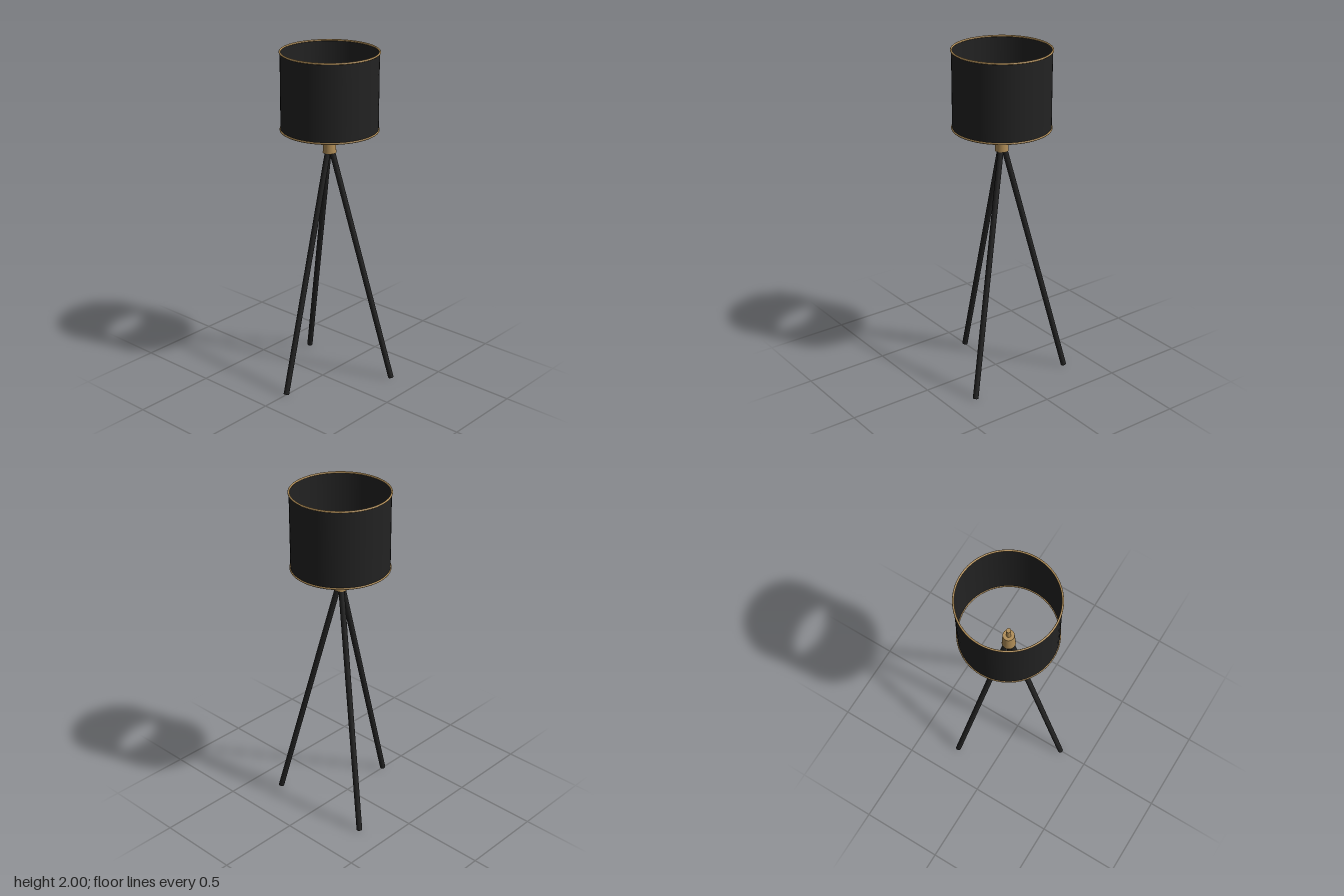
import * as THREE from 'three';

export function createModel() {
  const black = new THREE.MeshStandardMaterial({ color: 0x222222 });
  black.name = 'matte black';
  const shadeBlack = new THREE.MeshStandardMaterial({ color: 0x222222, side: THREE.DoubleSide });
  shadeBlack.name = 'shade black';
  const brass = new THREE.MeshStandardMaterial({ color: 0xb08d57 });
  brass.name = 'brass';

  const lamp = new THREE.Group();
  lamp.name = 'tripodFloorLamp';
  lamp.position.z = -0.058; // lamp axis sits behind the centre of the footprint

  const add = (name, geometry, material, y = 0) => {
    const mesh = new THREE.Mesh(geometry, material);
    mesh.name = name;
    mesh.position.y = y;
    lamp.add(mesh);
    return mesh;
  };

  // Three splayed legs, one pointing forwards
  const legRadius = 0.0165;
  const up = new THREE.Vector3(0, 1, 0);
  ['frontLeg', 'backLeftLeg', 'backRightLeg'].forEach((name, i) => {
    const a = (i * Math.PI * 2) / 3;
    const at = (r, y) => new THREE.Vector3(Math.sin(a) * r, y, Math.cos(a) * r);
    const foot = at(0.381, 0.0042);
    const top = at(0.0115, 1.43);
    const axis = top.clone().sub(foot);
    const leg = add(name, new THREE.CylinderGeometry(legRadius, legRadius, axis.length(), 16), black);
    leg.position.copy(foot).add(top).multiplyScalar(0.5);
    leg.quaternion.setFromUnitVectors(up, axis.normalize());
  });

  // Tapered hub and the short stem above it
  add('hub', new THREE.CylinderGeometry(0.033, 0.039, 0.11, 32), brass, 1.465);
  add('stem', new THREE.CylinderGeometry(0.0135, 0.0135, 0.075, 24), brass, 1.55);

  // Open drum shade with a brass ring at each rim
  const shadeRadius = 0.2775, low = 1.549, high = 1.9945;
  add('shade', new THREE.CylinderGeometry(shadeRadius, shadeRadius, high - low, 64, 1, true),
    shadeBlack, (low + high) / 2);
  for (const [name, y] of [['lowerRing', low], ['upperRing', high]]) {
    const ring = new THREE.TorusGeometry(shadeRadius, 0.0055, 10, 64);
    ring.rotateX(Math.PI / 2);
    add(name, ring, brass, y);
  }

  const model = new THREE.Group();
  model.name = 'floorLamp';
  model.add(lamp);
  return model;
}
